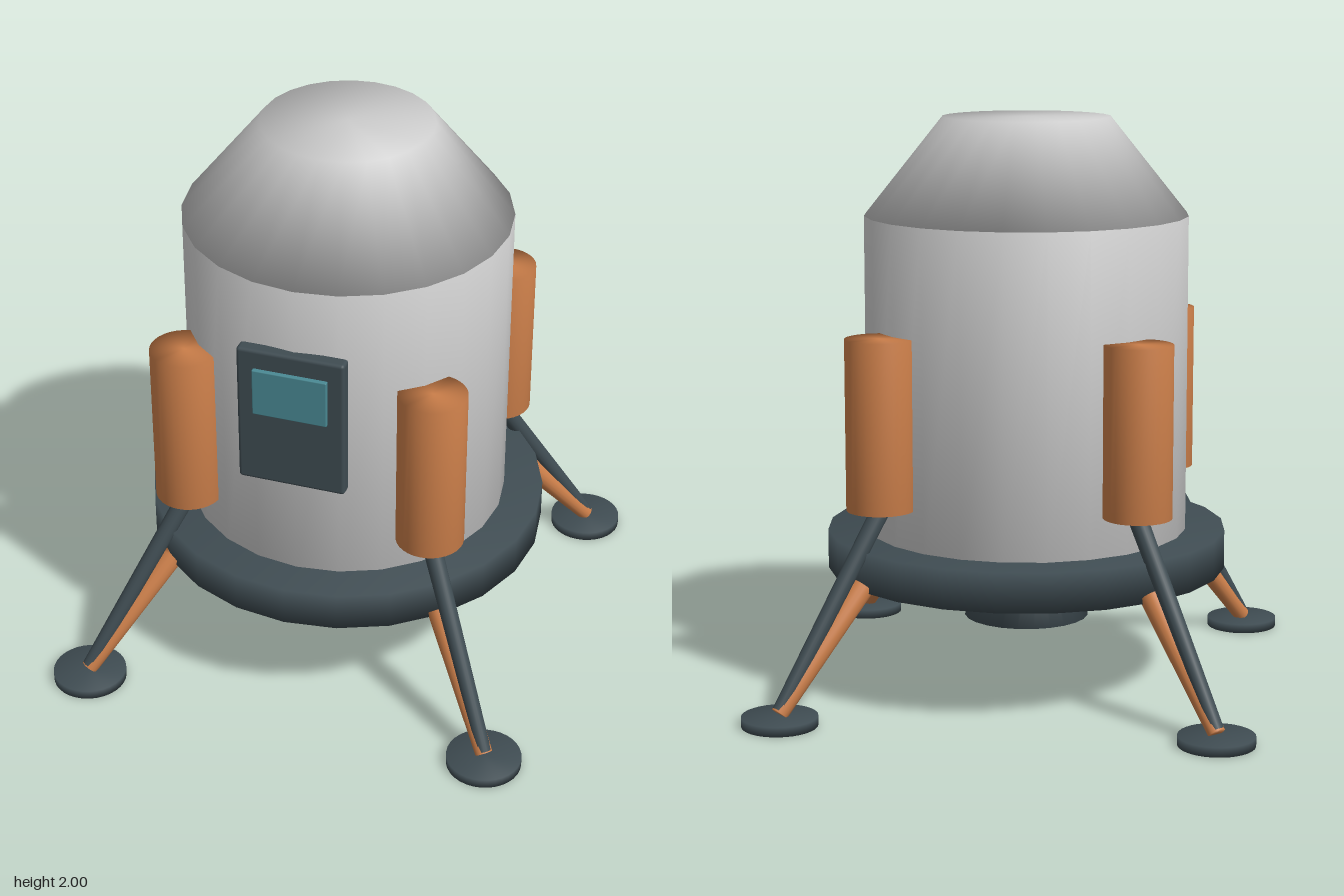
import * as THREE from 'three';
import { mergeVertices } from 'three/addons/utils/BufferGeometryUtils.js';
import { RoundedBoxGeometry } from 'three/addons/geometries/RoundedBoxGeometry.js';

const grey = new THREE.MeshStandardMaterial({ color: 0xcccccc });
const dark = new THREE.MeshStandardMaterial({ color: 0x3f4c52 });
const orange = new THREE.MeshStandardMaterial({ color: 0xcc7f4a });
const teal = new THREE.MeshStandardMaterial({ color: 0x4a8a94 });

function mesh(name, geometry, material) {
  const m = new THREE.Mesh(geometry, material);
  m.name = name;
  return m;
}

// Closed drum whose rims are shaded smoothly into the end caps
function drum(name, rTop, rBottom, y0, y1, sides, material) {
  let g = new THREE.CylinderGeometry(rTop, rBottom, y1 - y0, sides);
  g.deleteAttribute('normal');
  g.deleteAttribute('uv');
  g = mergeVertices(g, 1e-5);
  g.computeVertexNormals();
  const m = mesh(name, g, material);
  m.position.y = (y0 + y1) / 2;
  return m;
}

// Tapered round bar between two points
function strut(name, from, to, rFrom, rTo, material) {
  const dir = to.clone().sub(from);
  const m = drum(name, rTo, rFrom, 0, dir.length(), 16, material);
  m.position.copy(from).addScaledVector(dir, 0.5);
  m.quaternion.setFromUnitVectors(new THREE.Vector3(0, 1, 0), dir.normalize());
  return m;
}

// Rounded panel set by its centre and size
function panel(name, x, y, z, w, h, d, r, material) {
  const m = mesh(name, new RoundedBoxGeometry(w, h, d, 2, r), material);
  m.position.set(x, y, z);
  return m;
}

export function createModel() {
  const lander = new THREE.Group();
  lander.name = 'lander';

  // Cabin, nose, base ring and engine
  lander.add(
    drum('cabin', 0.568, 0.568, 0.48, 1.66, 24, grey),
    drum('noseCone', 0.295, 0.568, 1.66, 2, 24, grey),
    drum('baseRing', 0.707, 0.707, 0.41, 0.548, 24, dark),
    drum('engineNozzle', 0.125, 0.222, 0.22, 0.42, 24, dark)
  );

  // Hatch with its window on the front
  lander.add(
    panel('hatch', -0.003, 1.172, 0.574, 0.376, 0.516, 0.052, 0.012, dark),
    panel('hatchWindow', -0.002, 1.275, 0.603, 0.26, 0.172, 0.024, 0.004, teal)
  );

  // Four corners: tank, landing leg, brace and foot
  for (const sx of [-1, 1]) {
    for (const sz of [-1, 1]) {
      const at = (d, y) => new THREE.Vector3(sx * d, y, sz * d);
      const corner = new THREE.Group();
      corner.name = 'landingCorner';

      const tank = drum('tank', 0.118, 0.118, 0.687, 1.278, 32, orange);
      tank.position.x = sx * 0.44;
      tank.position.z = sz * 0.44;

      const foot = drum('foot', 0.13, 0.13, 0, 0.033, 32, dark);
      foot.position.x = sx * 0.735;
      foot.position.z = sz * 0.735;

      corner.add(
        tank,
        foot,
        strut('leg', at(0.415, 0.74), at(0.735, 0.05), 0.034, 0.025, dark),
        strut('brace', at(0.495, 0.43), at(0.735, 0.04), 0.042, 0.03, orange)
      );
      lander.add(corner);
    }
  }
  return lander;
}
